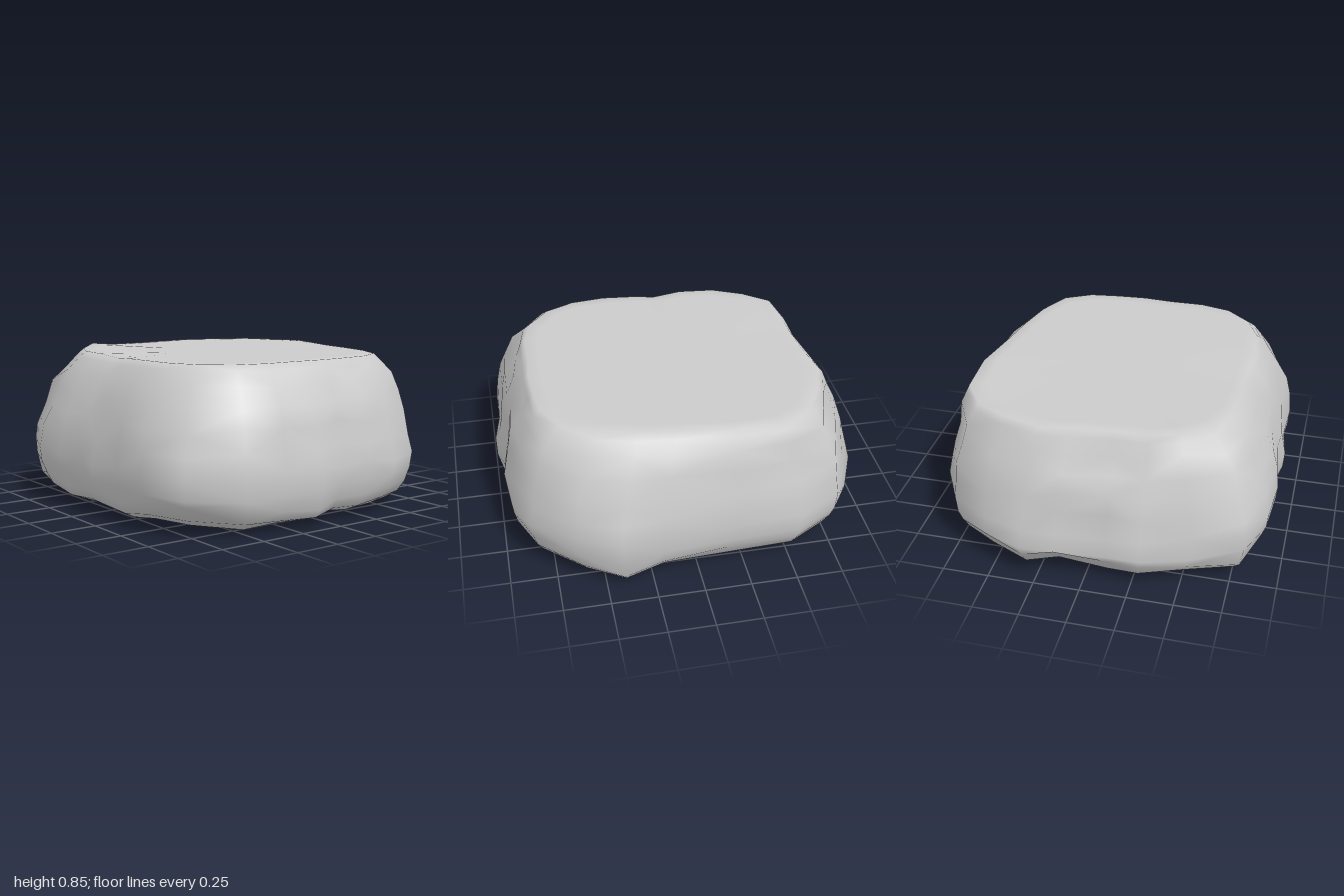
import * as THREE from 'three';

// widest outline of the boulder, the matching rim of its flat top,
// and how far the lower edge is lifted, as [x, z, rimX, rimZ, lift]
const OUTLINE = [
  [-0.12, 1.0, -0.12, 0.78, 0.05], [0.05, 0.95, 0.05, 0.79, 0.08], [0.22, 0.97, 0.22, 0.78, 0.09],
  [0.43, 0.95, 0.38, 0.76, 0.08], [0.65, 0.87, 0.53, 0.68, 0.07], [0.83, 0.64, 0.62, 0.5, 0.06],
  [0.92, 0.42, 0.67, 0.29, 0.03], [0.89, 0.2, 0.7, 0.1, 0.06], [0.88, -0.2, 0.75, -0.2, 0.12],
  [0.86, -0.55, 0.74, -0.46, 0.09], [0.74, -0.78, 0.63, -0.63, 0.1], [0.55, -0.9, 0.46, -0.72, 0.12],
  [0.32, -1.0, 0.26, -0.78, 0.12], [0.15, -0.96, 0.1, -0.75, 0.12], [-0.13, -0.94, -0.13, -0.73, 0.1],
  [-0.31, -0.96, -0.31, -0.72, 0.1], [-0.55, -0.86, -0.46, -0.7, 0.07], [-0.82, -0.75, -0.6, -0.57, 0.04],
  [-0.91, -0.52, -0.68, -0.4, 0.09], [-0.93, -0.25, -0.7, -0.2, 0.08], [-0.9, -0.06, -0.71, -0.04, 0.08],
  [-0.93, 0.1, -0.71, 0.1, 0.06], [-0.9, 0.3, -0.71, 0.27, 0.06], [-0.91, 0.55, -0.69, 0.46, 0.08],
  [-0.83, 0.8, -0.62, 0.62, 0.12], [-0.57, 0.96, -0.48, 0.74, 0.06], [-0.33, 0.96, -0.31, 0.78, 0.06],
];

// rings from the underside to the top: height, scale, blend to the rim, roughness, share of the lift
const RINGS = [
  [0.03, 0.25, 0, 0, 0], [0.03, 0.5, 0, 0, 0], [0.03, 0.72, 0, 0.3, 0], [0.03, 0.86, 0, 0.4, 0.2],
  [0.035, 0.935, 0, 0.4, 0.6], [0.06, 0.97, 0, 0.3, 1], [0.21, 0.992, 0, 0.1, 0], [0.31, 1, 0, 0, 0],
  [0.42, 1, 0.08, 0.5, 0], [0.53, 1, 0.2, 0.9, 0], [0.64, 1, 0.39, 1, 0], [0.74, 1, 0.64, 0.8, 0],
  [0.81, 1, 0.87, 0.4, 0], [0.842, 1, 1.03, 0, 0], [0.842, 0.9, 1, 0, 0], [0.842, 0.45, 1, 0, 0],
];

// local dents and knobs: centre, radius, push
const CHIPS = [
  [[0.85, 0.6, -0.02], 0.12, [-0.03, 0, 0]],
  [[0.68, 0.84, -0.28], 0.1, [0, 0.02, 0]],
  [[-0.46, 0.84, -0.7], 0.09, [0, 0.015, 0]],
  [[-0.71, 0.84, 0.0], 0.09, [0.03, -0.015, 0]],
  [[-0.05, 0.45, 0.97], 0.13, [0, 0, -0.02]],
  [[0.72, 0.25, 0.8], 0.1, [-0.015, 0, -0.015]],
];

// repeatable value between -1 and 1
function rough(i, j) {
  const s = Math.sin(i * 12.9898 + j * 78.233) * 43758.5453;
  return (s - Math.floor(s)) * 2 - 1;
}

// lumps of the underside
function underside(x, z) {
  return 0.016 * Math.sin(x * 9 + z * 2 + 1) * Math.cos(z * 8 - x * 2) + 0.008 * Math.sin(x * 4 - z * 15);
}

function ringPoint([ox, oz, rx, rz, lift], j, [h, scale, blend, r, share], k) {
  // the back leans in sooner than the other sides
  const lean = oz < -0.84 && h > 0.3 && h < 0.8 ? 0.14 : 0;
  const m = blend + lean;
  const s = scale * (1 + r * (0.016 * rough(j, k) + 0.012 * Math.sin(j * 2.1 + k * 0.5) - 0.004));
  const x = (ox + (rx - ox) * m) * s;
  const z = (oz + (rz - oz) * m) * s;
  let y = h + lift * share;
  if (h < 0.1) y = Math.max(0, y + underside(x, z));
  else if (h < 0.75) y += 0.02 * rough(j + 9, k);
  const p = new THREE.Vector3(x, y, z);
  for (const [c, radius, push] of CHIPS) {
    const d = p.distanceTo(new THREE.Vector3(...c)) / radius;
    p.addScaledVector(new THREE.Vector3(...push), Math.exp(-d * d));
  }
  return p;
}

function boulderGeometry() {
  const n = OUTLINE.length;
  const pos = [];
  const index = [];
  RINGS.forEach((ring, k) => OUTLINE.forEach((o, j) => pos.push(...ringPoint(o, j, ring, k))));
  for (let k = 0; k < RINGS.length - 1; k++) {
    for (let j = 0; j < n; j++) {
      const a = k * n + j, b = k * n + (j + 1) % n;
      const c = b + n, d = a + n;
      if ((j + k) % 2) index.push(a, b, c, a, c, d);
      else index.push(a, b, d, b, c, d);
    }
  }
  // close the underside and the top
  const bottom = pos.length / 3, top = bottom + 1;
  pos.push(0, 0.03 + underside(0, 0), 0, 0, 0.842, 0);
  const last = (RINGS.length - 1) * n;
  for (let j = 0; j < n; j++) {
    const next = (j + 1) % n;
    index.push(bottom, next, j, top, last + j, last + next);
  }
  const g = new THREE.BufferGeometry();
  g.setAttribute('position', new THREE.Float32BufferAttribute(pos, 3));
  g.setIndex(index);
  g.computeVertexNormals();
  return g;
}

export function createModel() {
  const group = new THREE.Group();
  group.name = 'boulder';
  const rock = new THREE.Mesh(boulderGeometry(), new THREE.MeshStandardMaterial({ color: 0xcccccc }));
  rock.name = 'rock';
  group.add(rock);
  return group;
}
